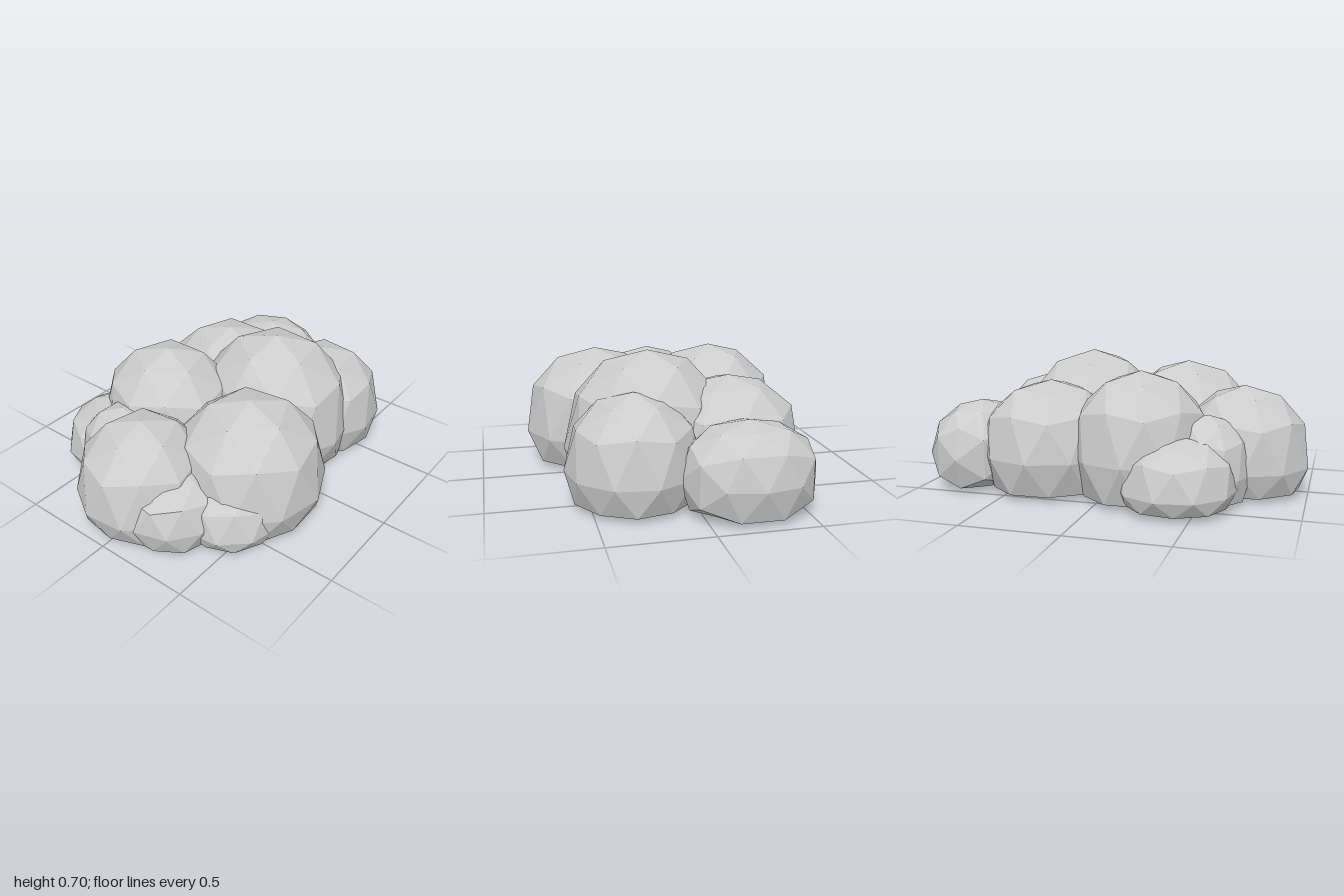
import * as THREE from 'three';

const POLE_UP = Math.atan(2 / (1 + Math.sqrt(5))); // brings a corner of the ball to the top
const EDGE_UP = 0;

// Each puff: name, x range, z range, centre height, top height, turn, tilt
const PUFFS = [
  ['frontLeftPuff', -0.68, 0.11, -0.04, 0.745, 0.18, 0.63, 0.12, POLE_UP],
  ['middlePuff', -0.17, 0.61, -0.28, 0.585, 0.2, 0.7, -0.1, POLE_UP],
  ['frontRightPuff', 0.16, 0.83, -0.06, 0.615, 0.17, 0.55, -0.13, POLE_UP],
  ['farRightPuff', 0.47, 1.0, -0.57, 0.11, 0.18, 0.45, 0, EDGE_UP],
  ['backRightPuff', -0.02, 0.68, -0.63, 0.14, 0.2, 0.575, 0, POLE_UP],
  ['backMiddlePuff', -0.51, 0.17, -0.66, 0.1, 0.22, 0.645, 0, POLE_UP],
  ['backLeftPuff', -0.69, -0.1, -0.75, -0.16, 0.1, 0.36, -0.15, POLE_UP],
  ['backLeftGapPuff', -0.74, -0.3, -0.52, -0.08, 0.15, 0.44, 0.3, POLE_UP],
  ['farLeftPuff', -1.0, -0.32, -0.365, 0.32, 0.15, 0.555, 0.1, POLE_UP],
  ['leftLowPuff', -0.94, -0.38, -0.1, 0.43, 0.14, 0.38, 0.3, POLE_UP],
  ['frontLowPuff', -0.75, -0.2, 0.12, 0.66, 0.1, 0.35, 0.1, POLE_UP],
  ['basePuff', -0.7, 0.72, -0.45, 0.45, 0.12, 0.3, 0, POLE_UP],
];

// A faceted ball fitted to its range, with full shoulders and an underside pressed almost flat
function puffGeometry(x0, x1, z0, z1, cy, top, turn, tilt) {
  const geo = new THREE.IcosahedronGeometry(1, 1);
  geo.rotateZ(tilt).rotateY(turn);
  geo.computeBoundingBox();
  const { min, max } = geo.boundingBox;
  const p = geo.attributes.position;
  const rim = 0.03;
  for (let i = 0; i < p.count; i++) {
    const h = p.getY(i) / max.y;
    const x = THREE.MathUtils.mapLinear(p.getX(i), min.x, max.x, x0, x1);
    const z = THREE.MathUtils.mapLinear(p.getZ(i), min.z, max.z, z0, z1);
    const rise = Math.sign(h) * Math.abs(h) ** 0.82;
    const y = h < -0.4 ? (rim * (1 + h)) / 0.6 : cy + rise * (top - cy);
    p.setXYZ(i, x, y, z);
  }
  geo.computeVertexNormals();
  return geo;
}

export function createModel() {
  const cloud = new THREE.Group();
  cloud.name = 'cloud';
  const grey = new THREE.MeshStandardMaterial({ color: 0xcccccc, flatShading: true });
  grey.name = 'cloudGrey';
  for (const [name, ...fit] of PUFFS) {
    const puff = new THREE.Mesh(puffGeometry(...fit), grey);
    puff.name = name;
    cloud.add(puff);
  }
  return cloud;
}
